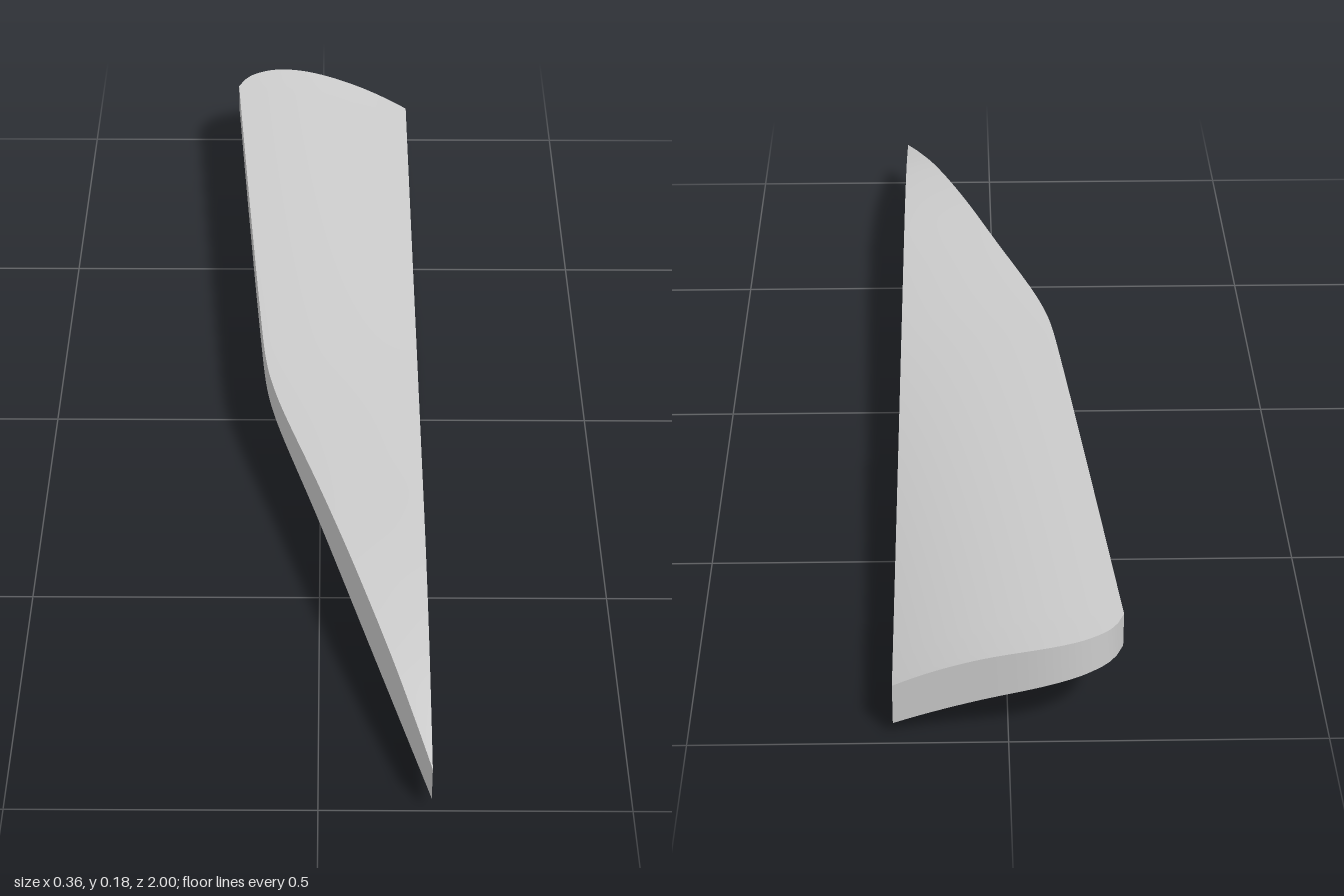
import * as THREE from 'three';

// smooth curve through [position, value] pairs
function curve(pts) {
  const slope = i => {
    const a = pts[Math.max(i - 1, 0)], b = pts[Math.min(i + 1, pts.length - 1)];
    return (b[1] - a[1]) / (b[0] - a[0]);
  };
  return p => {
    let i = 0;
    while (i < pts.length - 2 && p > pts[i + 1][0]) i++;
    const [x0, y0] = pts[i], [x1, y1] = pts[i + 1], h = x1 - x0;
    const s = THREE.MathUtils.clamp((p - x0) / h, 0, 1), r = 1 - s;
    return y0 * (1 + 2 * s) * r * r + slope(i) * h * s * r * r
      + y1 * s * s * (3 - 2 * s) - slope(i + 1) * h * s * s * r;
  };
}

const RIGHT = 0.18, SHOULDER = -0.92, CAP = 0.12;

// plan outline: curved side edge and rounded rear edge
const edgeX = curve([[-0.92, -0.18], [-0.5, -0.147], [-0.05, -0.11], [0.05, -0.099], [0.12, -0.085],
  [0.2, -0.063], [0.4, 0], [0.7, 0.09], [1, RIGHT]]);
const rearZ = curve([[-0.18, SHOULDER], [-0.165, -0.952], [-0.14, -0.975], [-0.1, -0.993], [-0.04, -1],
  [0.05, -0.993], [RIGHT, -0.978]]);

// heights of the four long edges
const topCurved = curve([[-1, 0.186], [-0.92, 0.184], [0, 0.169], [0.5, 0.164], [0.65, 0.156],
  [0.8, 0.139], [0.92, 0.114], [1, 0.093]]);
const topStraight = curve([[-0.98, 0.094], [-0.4, 0.118], [0.3, 0.148], [0.5, 0.155], [0.65, 0.152],
  [0.8, 0.137], [0.92, 0.113], [1, 0.093]]);
const baseCurved = curve([[-1, 0.125], [-0.92, 0.124], [-0.3, 0.109], [0, 0.108], [0.2, 0.102],
  [0.5, 0.075], [1, 0.028]]);
const baseStraight = curve([[-0.98, 0.022], [-0.5, 0.006], [-0.2, 0], [0, 0.003], [0.5, 0.015], [1, 0.028]]);

// u runs from rear to tip, t from the curved edge to the straight edge, h from underside to top
function point(u, t, h) {
  const k = Math.max(0, (u - CAP) / (1 - CAP));
  const row = SHOULDER + k * (1 - SHOULDER);
  const x = THREE.MathUtils.lerp(edgeX(row), RIGHT, t);
  const z = u < CAP ? THREE.MathUtils.lerp(rearZ(x), SHOULDER, u / CAP) : row;
  const top = THREE.MathUtils.lerp(topCurved(z), topStraight(z), t ** 2.2);
  const arch = 1 + 0.6 * THREE.MathUtils.clamp((-0.5 - z) / 0.45, 0, 1);
  const base = THREE.MathUtils.lerp(baseCurved(z), baseStraight(z), t ** arch);
  return [x, THREE.MathUtils.lerp(base, top, h), z];
}

// grid surface facing along du x dv
function surface(name, nu, nv, fn) {
  const pos = [], index = [];
  for (let i = 0; i <= nu; i++) for (let j = 0; j <= nv; j++) {
    pos.push(...fn(i / nu, j / nv));
    if (i < nu && j < nv) {
      const a = i * (nv + 1) + j, b = a + nv + 1;
      index.push(a, b, b + 1, a, b + 1, a + 1);
    }
  }
  const g = new THREE.BufferGeometry();
  g.setAttribute('position', new THREE.Float32BufferAttribute(pos, 3));
  g.setIndex(index);
  g.computeVertexNormals();
  const mesh = new THREE.Mesh(g, new THREE.MeshStandardMaterial({ color: 0xcccccc, side: THREE.DoubleSide }));
  mesh.name = name;
  return mesh;
}

export function createModel() {
  const group = new THREE.Group();
  group.name = 'blade';
  const side = u => CAP + u * (1 - CAP);
  group.add(
    surface('topSurface', 100, 32, (u, v) => point(u, v, 1)),
    surface('underside', 32, 100, (u, v) => point(v, u, 0)),
    surface('straightSide', 1, 100, (u, v) => point(v, 1, u)),
    surface('curvedSide', 100, 1, (u, v) => point(side(u), 0, v)),
    surface('rearEnd', 1, 32, (u, v) => point(0, v, u)),
  );
  return group;
}
